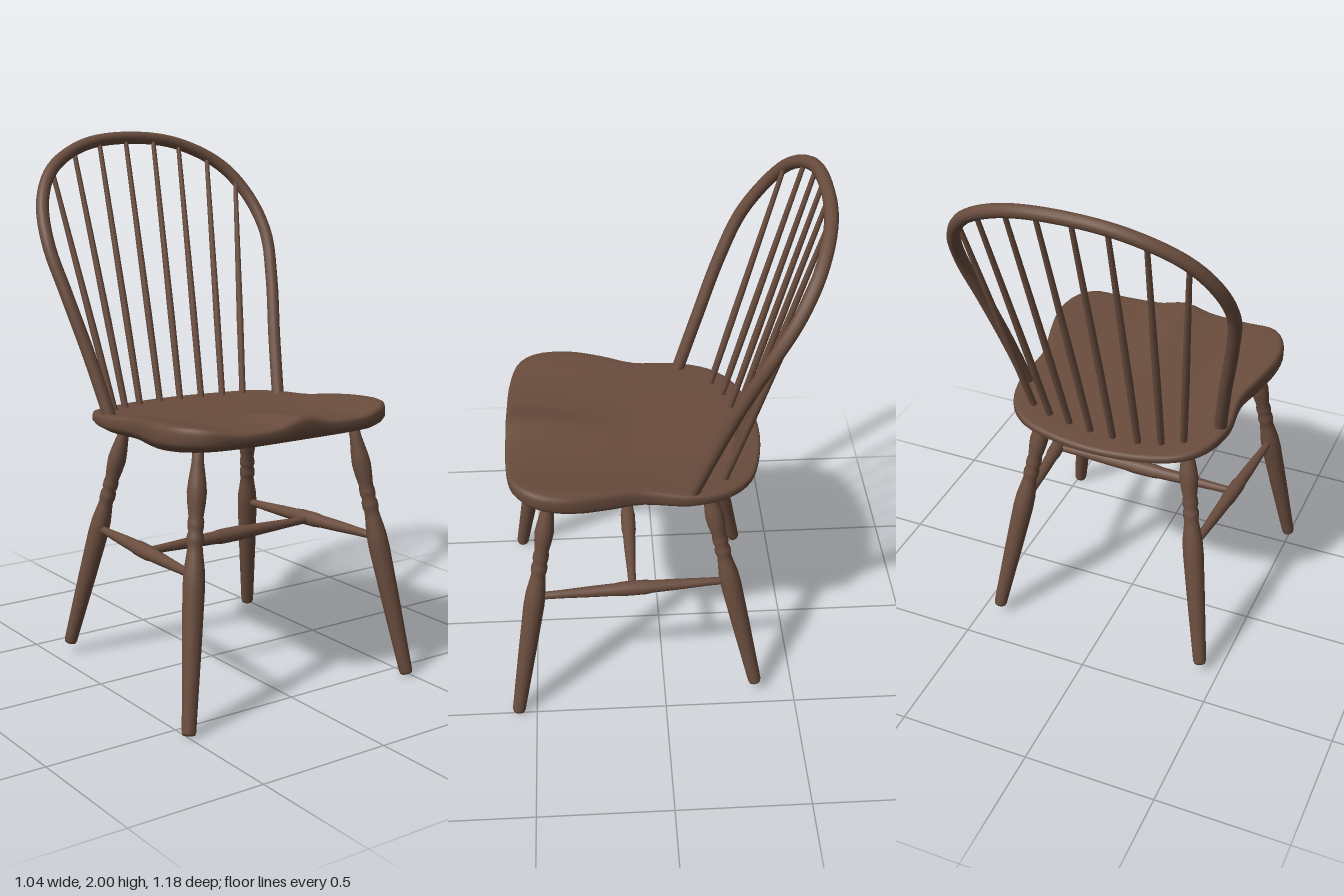
import * as THREE from 'three';

const wood = new THREE.MeshStandardMaterial({ color: 0x6a4d3e });
wood.name = 'brown wood';
const V = (x, y, z) => new THREE.Vector3(x, y, z);

function part(parent, name, geometry) {
  const mesh = new THREE.Mesh(geometry, wood);
  mesh.name = name;
  parent.add(mesh);
  return mesh;
}

// Turned piece running from a to b; profile holds [fraction of length, radius]
function turned(parent, name, a, b, profile, sides = 16) {
  const length = a.distanceTo(b);
  const pts = [[0, 0], ...profile, [1, 0]].map(([t, r]) => new THREE.Vector2(r, t * length));
  const mesh = part(parent, name, new THREE.LatheGeometry(pts, sides));
  mesh.position.copy(a);
  mesh.quaternion.setFromUnitVectors(V(0, 1, 0), b.clone().sub(a).normalize());
}

// Saddled seat surface: raised sides and a small ridge at the front centre
function seatTop(x, z) {
  const front = THREE.MathUtils.smoothstep(z, 0.1, 0.55);
  const side = THREE.MathUtils.smoothstep(Math.abs(x), 0.24, 0.44);
  const lift = 0.01 + 0.02 * THREE.MathUtils.smoothstep(z, -0.15, 0.3);
  return 0.985 + 0.06 * z + lift * side + 0.032 * Math.exp(-((x / 0.08) ** 2)) * front;
}
const seatBottom = (z) => 0.926 + 0.085 * Math.max(z, 0) ** 1.5;

function seatGeometry() {
  const half = [[0.16, -0.363], [0.3, -0.315], [0.38, -0.235], [0.42, -0.1], [0.408, 0.08],
    [0.44, 0.21], [0.465, 0.35], [0.445, 0.46], [0.385, 0.53], [0.29, 0.56]];
  const outline = [[0, -0.38], ...half, [0, 0.57], ...half.slice().reverse().map(([x, z]) => [-x, z])];
  const curve = new THREE.CatmullRomCurve3(outline.map(([x, z]) => V(x, 0, z)), true);
  const n = 96, cz = 0.08;
  // [scale of outline, blend from top surface to bottom surface]
  const rings = [[0.001, 0], [0.15, 0], [0.3, 0], [0.45, 0], [0.6, 0], [0.75, 0], [0.88, 0], [0.97, 0],
    [0.992, 0.08], [1, 0.25], [1, 0.6], [0.98, 0.8], [0.93, 1], [0.5, 1], [0.001, 1]];
  const pos = [], index = [];
  const loop = Array.from({ length: n }, (_, j) => curve.getPointAt(j / n));
  rings.forEach(([s, k], i) => loop.forEach((p, j) => {
    const x = p.x * s, z = cz + (p.z - cz) * s;
    pos.push(x, THREE.MathUtils.lerp(seatTop(x, z), seatBottom(z), k), z);
    if (i === rings.length - 1) return;
    const a = i * n + j, b = i * n + (j + 1) % n;
    index.push(a, b, a + n, b, b + n, a + n);
  }));
  const g = new THREE.BufferGeometry();
  g.setAttribute('position', new THREE.Float32BufferAttribute(pos, 3));
  g.setIndex(index);
  g.computeVertexNormals();
  return g;
}

export function createModel() {
  const chair = new THREE.Group();
  chair.name = 'chair';
  part(chair, 'seat', seatGeometry());

  // Bent hoop of the back
  const side = [[0.385, 0.97, -0.095], [0.425, 1.2, -0.175], [0.47, 1.42, -0.255], [0.497, 1.6, -0.335],
    [0.468, 1.75, -0.425], [0.385, 1.865, -0.495], [0.215, 1.95, -0.55]];
  const path = new THREE.CatmullRomCurve3([
    ...side.map(([x, y, z]) => V(-x, y, z)), V(0, 1.975, -0.565),
    ...side.slice().reverse().map((p) => V(...p))]);
  part(chair, 'backHoop', new THREE.TubeGeometry(path, 96, 0.024, 14));

  // Spindles: bottom x, bottom z, top x, top y, top z
  const spindles = [[-0.29, -0.215, -0.393, 1.85, -0.48], [-0.22, -0.255, -0.27, 1.92, -0.53],
    [-0.14, -0.28, -0.147, 1.955, -0.55], [-0.045, -0.285, -0.025, 1.965, -0.555],
    [0.045, -0.28, 0.1, 1.96, -0.55], [0.135, -0.265, 0.213, 1.94, -0.54],
    [0.222, -0.245, 0.33, 1.89, -0.51], [0.3, -0.215, 0.43, 1.8, -0.45]];
  for (const [x, z, tx, ty, tz] of spindles)
    turned(chair, 'spindle', V(x, 0.95, z), V(tx, ty, tz), [[0, 0.013], [0.35, 0.014], [1, 0.009]], 10);

  // Turned legs, from foot to seat
  const leg = [[0, 0.022], [0.01, 0.025], [0.3, 0.034], [0.5, 0.039], [0.56, 0.037], [0.62, 0.029],
    [0.645, 0.026], [0.66, 0.03], [0.68, 0.03], [0.695, 0.025], [0.71, 0.029], [0.73, 0.029], [0.745, 0.026],
    [0.79, 0.032], [0.83, 0.035], [0.87, 0.031], [0.93, 0.022], [1, 0.019]];
  const stretcher = [[0, 0.014], [0.12, 0.016], [0.3, 0.022], [0.4, 0.024], [0.44, 0.028], [0.56, 0.028],
    [0.6, 0.024], [0.7, 0.022], [0.88, 0.016], [1, 0.014]];
  for (const s of [-1, 1]) {
    turned(chair, 'frontLeg', V(s * 0.492, 0.008, 0.57), V(s * 0.34, 0.97, 0.408), leg);
    turned(chair, 'backLeg', V(s * 0.428, 0.045, -0.352), V(s * 0.278, 0.945, -0.155), leg);
    turned(chair, 'sideStretcher', V(s * 0.41, 0.53, 0.475), V(s * 0.348, 0.515, -0.245), stretcher, 14);
  }
  turned(chair, 'crossStretcher', V(-0.38, 0.52, 0.12), V(0.38, 0.52, 0.12), stretcher, 14);
  return chair;
}
